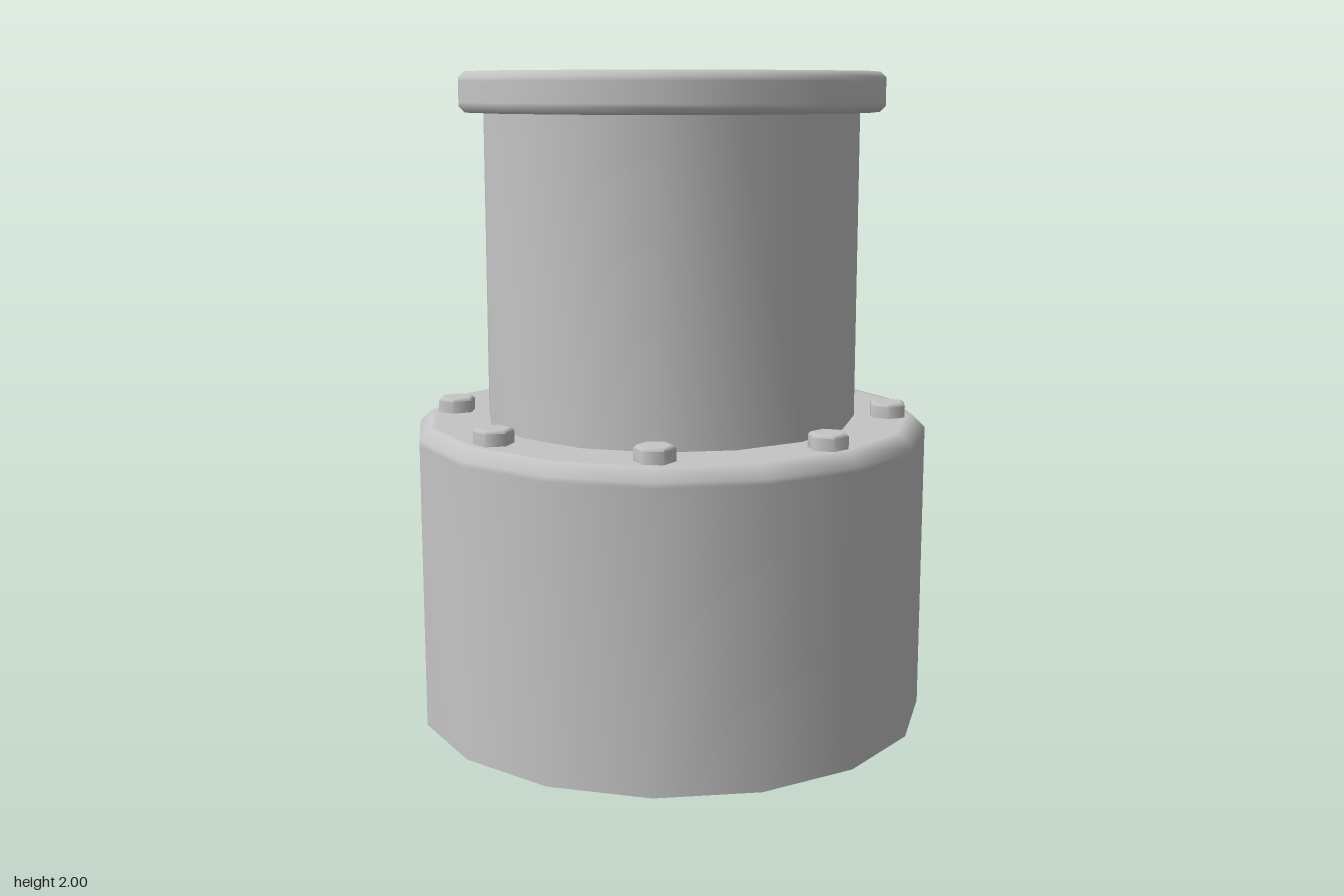
import * as THREE from 'three';
import { toCreasedNormals } from 'three/addons/utils/BufferGeometryUtils.js';

const metal = new THREE.MeshStandardMaterial({ color: 0xc5c5c5, side: THREE.DoubleSide });
metal.name = 'grey metal';

// Smooth up to 63 degrees, so bevels and hex sides blend and right angles stay sharp
function part(name, geometry) {
  const mesh = new THREE.Mesh(toCreasedNormals(geometry, 1.1), metal);
  mesh.name = name;
  return mesh;
}

function lathe(points, sides = 16) {
  return new THREE.LatheGeometry(points.map(([r, y]) => new THREE.Vector2(r, y)), sides);
}

export function createModel() {
  const group = new THREE.Group();
  group.name = 'flangedPipe';

  // Wide base, open below, closed by its bevelled top
  group.add(part('base', lathe([
    [0.8, 0], [0.8, 0.89], [0.8, 0.905], [0.765, 0.94], [0.745, 0.94], [0.55, 0.94], [0, 0.94],
  ])));

  // Pipe walls
  group.add(part('pipeOuterWall', lathe([[0.578, 0.94], [0.578, 1.88]])));
  group.add(part('pipeInnerWall', lathe([[0.55, 1.99], [0.55, 0.94]])));

  // Bevelled rim around the mouth
  group.add(part('rim', lathe([
    [0.55, 1.88], [0.625, 1.88], [0.638, 1.88], [0.655, 1.897], [0.655, 1.91],
    [0.655, 1.97], [0.655, 1.983], [0.638, 2], [0.625, 2], [0.55, 2], [0.55, 1.98],
  ])));

  // Hinge tab with a rounded back edge and softened sides
  const profile = new THREE.Shape([
    [0.57, 1.88], [0.73, 1.88], [0.765, 1.88], [0.788, 1.897], [0.8, 1.92],
    [0.8, 1.96], [0.788, 1.983], [0.765, 2], [0.73, 2], [0.57, 2],
  ].map(([u, y]) => new THREE.Vector2(u, y)));
  const tab = new THREE.ExtrudeGeometry(profile, {
    depth: 0.484, bevelThickness: 0.008, bevelSize: 0.008, bevelOffset: -0.008, bevelSegments: 1,
  });
  tab.translate(0, 0, -0.242).rotateY(Math.PI / 2);
  group.add(part('hingeTab', tab));

  // Hinge pin through the tab
  const pin = part('hingePin', lathe([
    [0, -0.33], [0.025, -0.33], [0.032, -0.33], [0.043, -0.315], [0.043, -0.305],
    [0.043, 0.305], [0.043, 0.315], [0.032, 0.33], [0.025, 0.33], [0, 0.33],
  ], 6));
  pin.rotation.z = Math.PI / 2;
  pin.position.set(0, 1.94, -0.743);
  group.add(pin);

  // Ring of eight hex bolts
  const boltShape = lathe([
    [0.06, 0.93], [0.06, 0.97], [0.06, 0.977], [0.051, 0.985], [0.045, 0.985], [0, 0.985],
  ], 6);
  for (let i = 0; i < 8; i++) {
    const bolt = part('bolt', boltShape);
    const angle = (i * Math.PI) / 4;
    bolt.position.set(Math.cos(angle) * 0.682, 0, Math.sin(angle) * 0.682);
    bolt.rotation.y = -angle;
    group.add(bolt);
  }
  return group;
}
